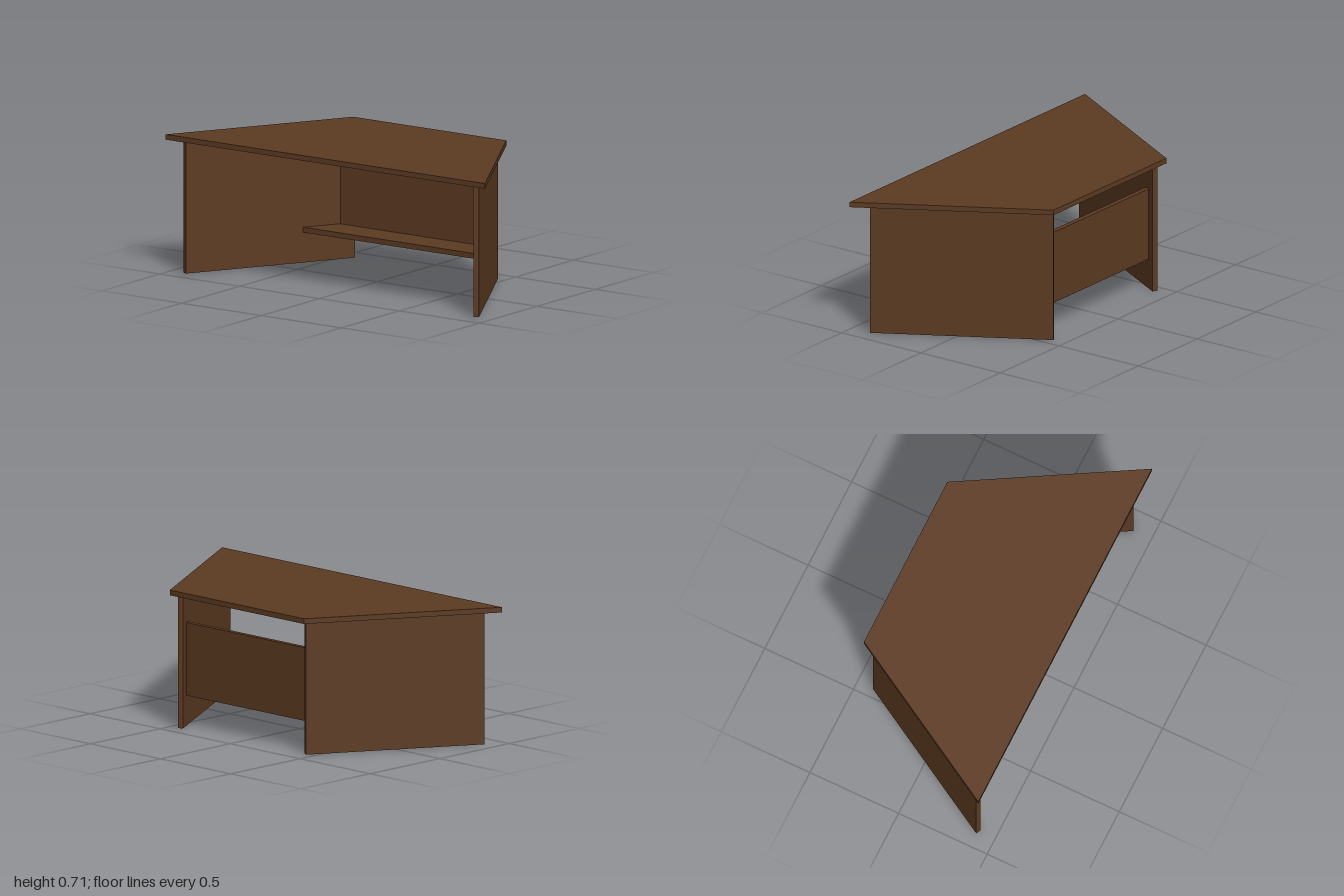
import * as THREE from 'three';

const wood = new THREE.MeshStandardMaterial({ color: 0x5c3a21 });
wood.name = 'dark brown wood';

const BOARD = 0.027; // board thickness

function add(group, name, geometry, x, y, z) {
  const mesh = new THREE.Mesh(geometry, wood);
  mesh.name = name;
  mesh.position.set(x, y, z);
  group.add(mesh);
  return mesh;
}

// Horizontal trapezoid board with its underside at y = 0
function trapezoidBoard(frontHalf, backHalf, frontZ, backZ) {
  const shape = new THREE.Shape([
    new THREE.Vector2(-frontHalf, -frontZ),
    new THREE.Vector2(frontHalf, -frontZ),
    new THREE.Vector2(backHalf, -backZ),
    new THREE.Vector2(-backHalf, -backZ),
  ]);
  return new THREE.ExtrudeGeometry(shape, { depth: BOARD, bevelEnabled: false }).rotateX(-Math.PI / 2);
}

export function createModel() {
  const desk = new THREE.Group();
  desk.name = 'desk';

  // Wide-fronted top
  add(desk, 'deskTop', trapezoidBoard(1, 0.48, 0.45, -0.45), 0, 0.688, 0);

  // Side panels, splayed to follow the slanted ends of the top
  const sideGeometry = new THREE.BoxGeometry(BOARD, 0.688, 0.937);
  add(desk, 'leftSidePanel', sideGeometry, 0.669, 0.344, -0.0134).rotation.y = Math.PI / 6;
  add(desk, 'rightSidePanel', sideGeometry, -0.6775, 0.344, 0.0013).rotation.y = -Math.PI / 6;

  // Back panel between the sides
  add(desk, 'backPanel', new THREE.BoxGeometry(0.936, 0.379, BOARD), 0, 0.3455, -0.339);

  // Low shelf in front of the back panel
  add(desk, 'shelf', trapezoidBoard(0.572, 0.471, -0.15, -0.3255), -0.003, 0.156, 0);

  return desk;
}
